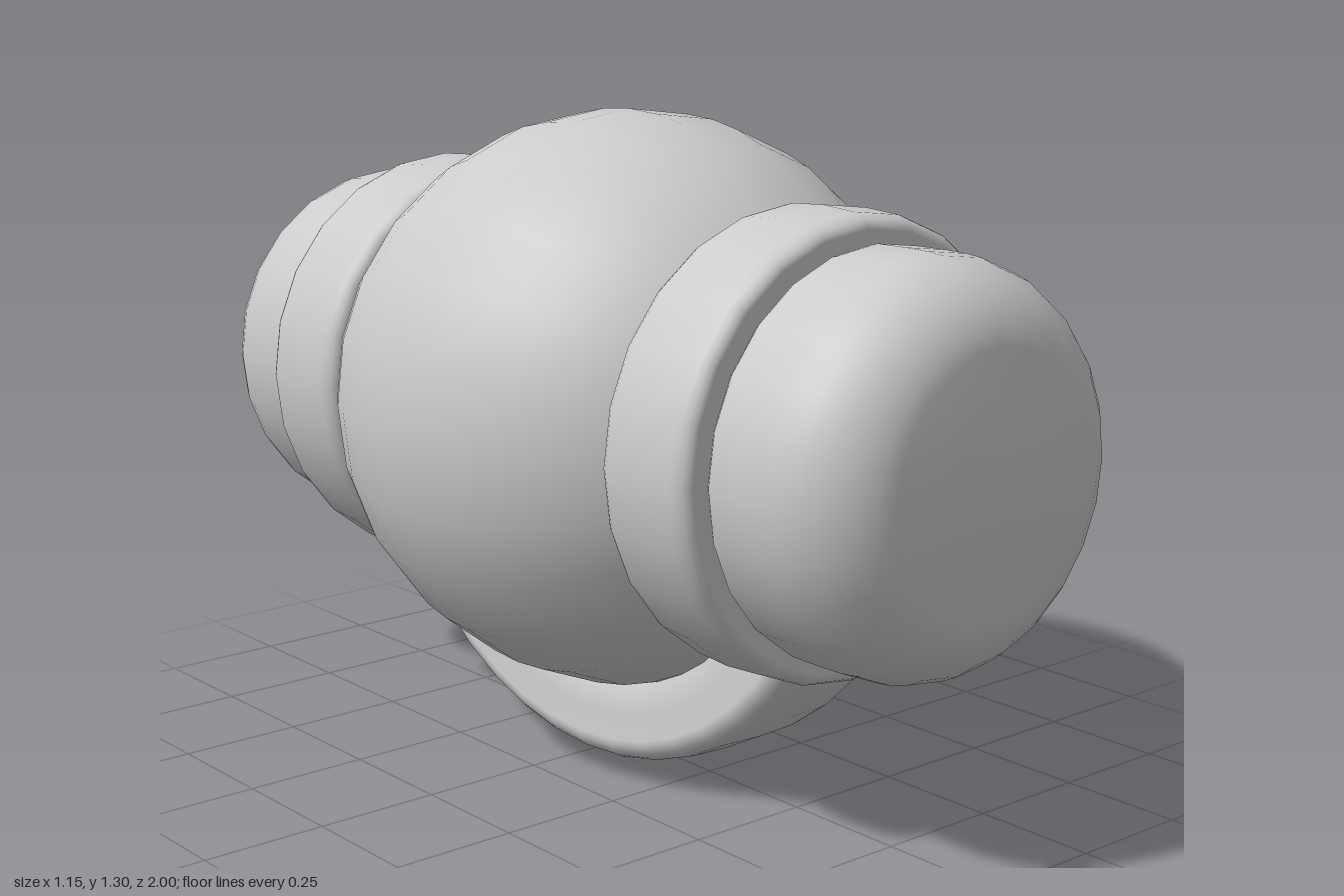
import * as THREE from 'three';

const AXIS_Y = 0.725;
const SIDES = 24;
const material = new THREE.MeshStandardMaterial({ color: 0xcccccc });

// Surface of revolution about z from [radius, z] points running towards +z
function turned(name, points) {
  const geometry = new THREE.LatheGeometry(points.map(([r, z]) => new THREE.Vector2(r, z)), SIDES);
  geometry.rotateX(Math.PI / 2);
  const mesh = new THREE.Mesh(geometry, material);
  mesh.name = name;
  return mesh;
}

// Points of a rounded corner (quarter ellipse) between two angles in degrees
function corner(cr, cz, rr, rz, from, to, steps = 5) {
  return Array.from({ length: steps + 1 }, (_, i) => {
    const a = THREE.MathUtils.degToRad(from + ((to - from) * i) / steps);
    return [cr + rr * Math.cos(a), cz + rz * Math.sin(a)];
  });
}

// Collar and rounded cap for one end
function createEnd(name) {
  const end = new THREE.Group();
  end.name = name;
  end.add(turned('collar', [
    [0.3, 0.43],
    ...corner(0.408, 0.475, 0.028, 0.045, -90, -15, 4),
    [0.44, 0.54],
    ...corner(0.408, 0.61, 0.028, 0.047, 15, 90, 4),
    [0.3, 0.657],
  ]));
  end.add(turned('cap', [
    [0.3, 0.65],
    ...corner(0.365, 0.68, 0.02, 0.025, -90, 0, 3),
    [0.386, 0.75],
    ...corner(0.215, 0.8, 0.17, 0.178, 0, 80, 7),
    [0.13, 0.991],
    [0.06, 0.997],
    [0, 0.999],
  ]));
  return end;
}

// Curved grip under the body: a rounded band swept round the x axis
function createGrip() {
  const section = [
    [0.56, -0.118], [0.64, -0.122],
    ...corner(0.693, -0.087, 0.045, 0.045, -180 + 90, 0, 5).map(([r, x]) => [r, x]),
    [0.741, 0],
    ...corner(0.693, 0.087, 0.045, 0.045, 0, 90, 5),
    [0.64, 0.122], [0.56, 0.118], [0.56, -0.118],
  ].map(([r, x]) => new THREE.Vector2(r, x));
  const half = 0.98;
  const geometry = new THREE.LatheGeometry(section, 14, 1.5 * Math.PI - half, 2 * half);
  geometry.rotateZ(Math.PI / 2);
  const grip = new THREE.Mesh(geometry, material);
  grip.name = 'grip';
  grip.position.y = 0.744;
  return grip;
}

export function createModel() {
  const model = new THREE.Group();
  model.name = 'capsule';

  const barrel = new THREE.Group();
  barrel.name = 'barrel';
  barrel.position.y = AXIS_Y;

  // Swollen round body
  barrel.add(turned('body', corner(0, 0, 0.574, 0.6, -90, 90, 24)
    .map(([r, z]) => [Math.max(r, 0), z])));

  // Matching ends, front and back
  const front = createEnd('frontEnd');
  const back = createEnd('backEnd');
  back.rotation.y = Math.PI;
  barrel.add(front, back);

  model.add(barrel, createGrip());
  return model;
}
